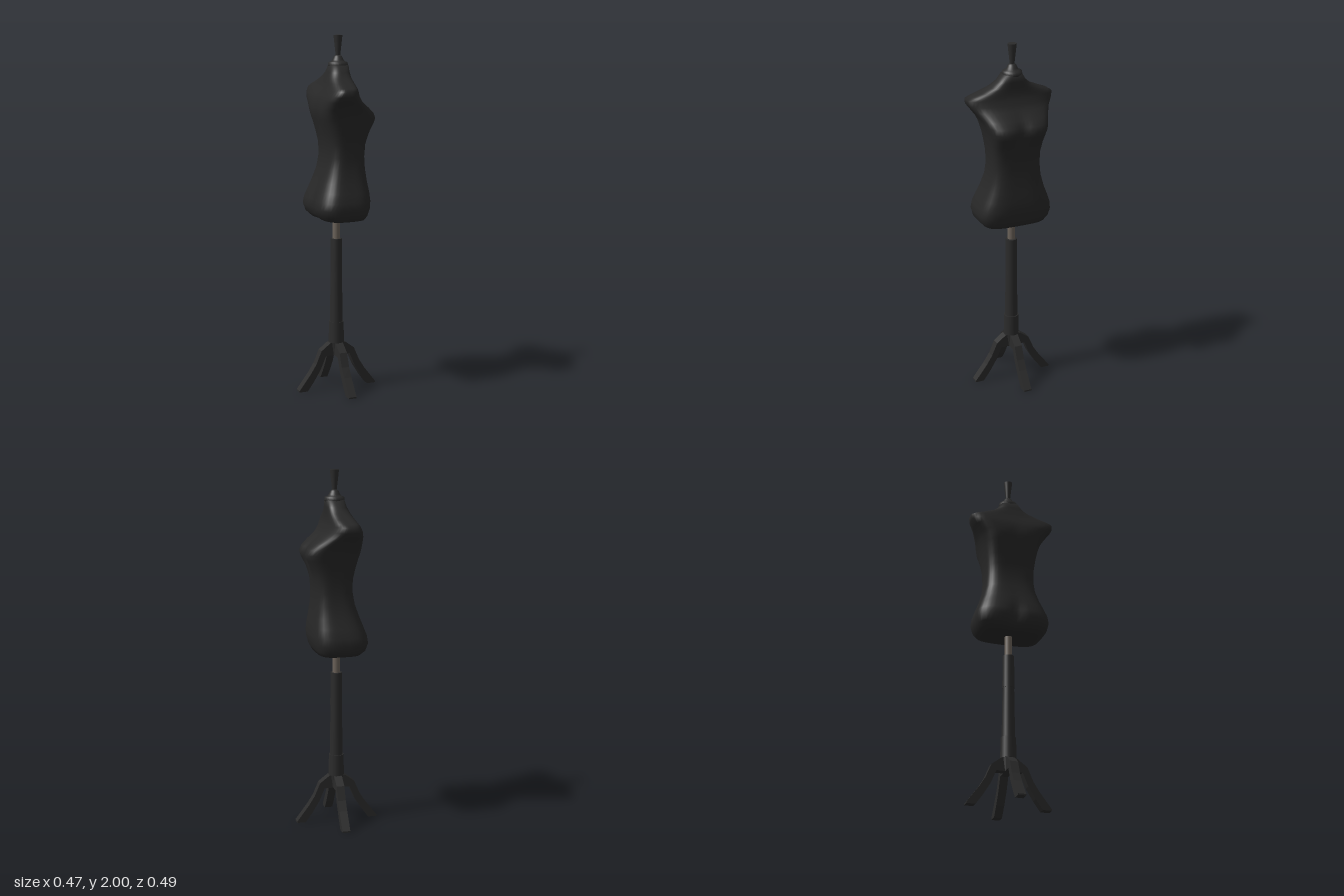
import * as THREE from 'three';

const fabric = new THREE.MeshStandardMaterial({ color: 0x272727 });
fabric.name = 'charcoal fabric';
const wood = new THREE.MeshStandardMaterial({ color: 0x2b2b2b });
wood.name = 'black wood';
const metal = new THREE.MeshStandardMaterial({ color: 0x6b6259 });
metal.name = 'brown metal';

const AXIS_Z = -0.01;

// Torso sections: height, back x, front x, half width
const SECTIONS = [
  [0.988, -0.09, 0.10, 0.15],
  [0.995, -0.115, 0.122, 0.178],
  [1.02, -0.142, 0.136, 0.2],
  [1.06, -0.156, 0.148, 0.21],
  [1.10, -0.15, 0.152, 0.204],
  [1.15, -0.131, 0.149, 0.186],
  [1.20, -0.112, 0.142, 0.166],
  [1.27, -0.088, 0.134, 0.146],
  [1.34, -0.076, 0.131, 0.139],
  [1.41, -0.078, 0.137, 0.141],
  [1.47, -0.092, 0.156, 0.149],
  [1.52, -0.106, 0.182, 0.158],
  [1.55, -0.116, 0.192, 0.166],
  [1.58, -0.122, 0.179, 0.175],
  [1.61, -0.123, 0.146, 0.188],
  [1.65, -0.116, 0.098, 0.216],
  [1.68, -0.103, 0.08, 0.24],
  [1.71, -0.089, 0.068, 0.246],
  [1.725, -0.081, 0.064, 0.222],
  [1.745, -0.073, 0.061, 0.172],
  [1.77, -0.064, 0.06, 0.117],
  [1.80, -0.052, 0.061, 0.08],
  [1.838, -0.042, 0.062, 0.056],
];

const bump = (v, centre, width) => Math.exp(-(((v - centre) / width) ** 2));

function torsoGeometry(sides = 56) {
  const pos = [], idx = [];
  for (const [y, back, front, half] of SECTIONS) {
    const cx = (back + front) / 2, depth = (front - back) / 2;
    // Boxy body, rounder at the shoulder tips and neck
    const n = 3.8 - 1.2 * bump(y, 1.84, 0.07) - 0.5 * bump(y, 1.7, 0.03);
    // Clefts along the middle of the chest and of the seat
    const chestCleft = 0.13 * bump(y, 1.55, 0.06);
    const seatCleft = 0.13 * bump(y, 1.07, 0.08) + 0.05 * bump(y, 1.56, 0.08);
    // Shoulder tips set back
    const setBack = 0.02 * bump(y, 1.69, 0.05);
    for (let j = 0; j < sides; j++) {
      const a = (j / sides) * Math.PI * 2;
      const c = Math.cos(a), s = Math.sin(a);
      const r = (Math.abs(c) ** n + Math.abs(s) ** n) ** (-1 / n);
      const z = half * s * r;
      const x = cx + depth * c * r - setBack * (z / half) ** 2;
      const cleft = (x > 0 ? chestCleft : seatCleft) * bump(z, 0, 0.04);
      pos.push(x * (1 - cleft), y, z + AXIS_Z / 2);
    }
  }
  const rows = SECTIONS.length;
  for (let i = 0; i < rows - 1; i++) {
    for (let j = 0; j < sides; j++) {
      const a = i * sides + j, b = i * sides + ((j + 1) % sides);
      idx.push(a, a + sides, b, b, a + sides, b + sides);
    }
  }
  // Closed underside and neck
  const last = (rows - 1) * sides;
  pos.push(0, 0.988, AXIS_Z, 0.01, 1.838, AXIS_Z);
  for (let j = 0; j < sides; j++) {
    const k = (j + 1) % sides;
    idx.push(rows * sides, j, k, rows * sides + 1, last + k, last + j);
  }
  const g = new THREE.BufferGeometry();
  g.setAttribute('position', new THREE.Float32BufferAttribute(pos, 3));
  g.setIndex(idx);
  g.computeVertexNormals();
  return g;
}

export function createModel() {
  const model = new THREE.Group();
  model.name = 'dressForm';
  const add = (name, geometry, material, x = 0, y = 0, z = AXIS_Z) => {
    const mesh = new THREE.Mesh(geometry, material);
    mesh.name = name;
    mesh.position.set(x, y, z);
    model.add(mesh);
    return mesh;
  };
  const rod = (name, top, bottom, y0, y1, material) =>
    add(name, new THREE.CylinderGeometry(top, bottom, y1 - y0, 24), material, 0, (y0 + y1) / 2);

  add('torso', torsoGeometry(), fabric, 0, 0, 0);

  // Turned neck cap with its flared handle
  const capProfile = [[0, 1.83], [0.053, 1.83], [0.055, 1.837], [0.053, 1.852], [0.038, 1.857],
    [0.03, 1.868], [0.022, 1.885], [0.012, 1.892], [0, 1.892]].map(p => new THREE.Vector2(...p));
  add('neckCap', new THREE.LatheGeometry(capProfile, 24), wood, 0.01);
  add('neckHandle', new THREE.CylinderGeometry(0.025, 0.012, 0.115, 24), wood, 0.01, 1.9425);

  // Stand
  rod('innerPole', 0.021, 0.021, 0.84, 1.0, metal);
  rod('upperColumn', 0.032, 0.034, 0.68, 0.87, wood);
  rod('lowerColumn', 0.032, 0.037, 0.38, 0.685, wood);
  rod('collar', 0.042, 0.044, 0.27, 0.39, wood);
  rod('hub', 0.042, 0.034, 0.195, 0.27, wood);

  // Four bent legs cut from a flat board
  const outline = [[0.02, 0.195], [0.073, 0.195], [0.104, 0.122], [0.145, 0.055], [0.185, 0], [0.235, 0],
    [0.235, 0.008], [0.165, 0.1], [0.132, 0.152], [0.1, 0.227], [0.045, 0.268], [0.02, 0.268]];
  const legGeometry = new THREE.ExtrudeGeometry(
    new THREE.Shape(outline.map(p => new THREE.Vector2(...p))), { depth: 0.045, bevelEnabled: false });
  legGeometry.translate(0, 0, -0.0225);
  for (let i = 0; i < 4; i++) {
    add('leg' + (i + 1), legGeometry, wood).rotation.y = (i * Math.PI) / 2;
  }
  return model;
}
